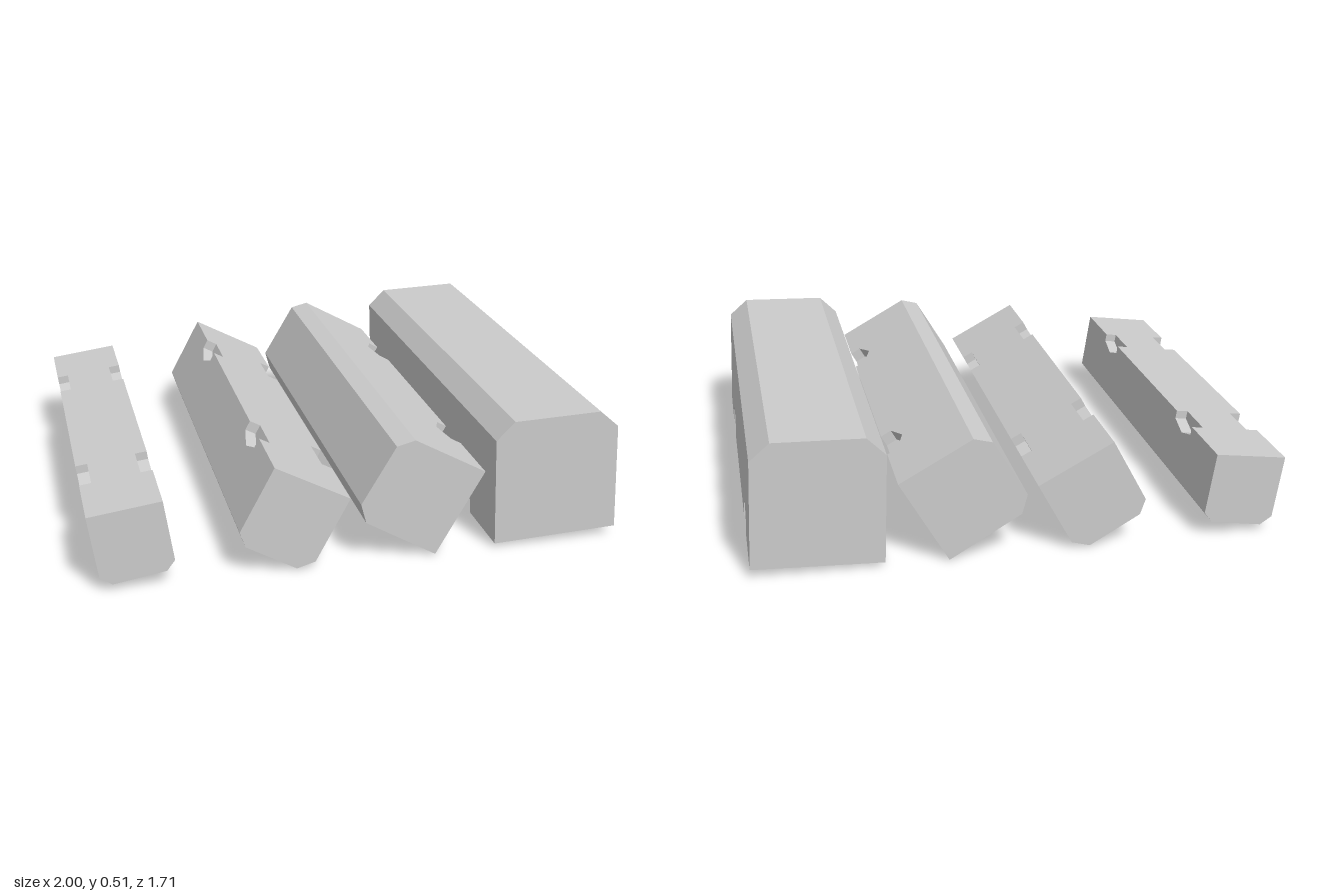
import * as THREE from 'three';

const HALF_LENGTH = 0.855;   // every block runs the same length along z
const NOTCH_Z = 0.492;       // notch centres at +-z
const NOTCH_HALF = 0.088;
const NOTCH_DEPTH = 0.045;

// Cross-sections, counter-clockwise seen from +z.
// The first two points are the base corners (notched); the other four form the chamfered top.
const BLOCKS = [
  { name: 'smallBlock', notch: 0.058, pts: [[-0.73, 0.335], [-1, 0.3], [-0.965, 0.06], [-0.92, 0.03], [-0.725, 0.06], [-0.695, 0.1]] },
  { name: 'mediumBlock', notch: 0.07, pts: [[-0.05, 0.27], [-0.33, 0.42], [-0.46, 0.18], [-0.44, 0.12], [-0.25, 0.01], [-0.18, 0.03]] },
  { name: 'largeBlock', notch: 0.08, pts: [[0.28, 0.005], [0.463, 0.323], [0.19, 0.475], [0.12, 0.457], [-0.01, 0.24], [0.01, 0.165]] },
  { name: 'tallBlock', notch: 0.1, pts: [[0.515, 0.02], [1, 0.04], [0.98, 0.455], [0.905, 0.52], [0.57, 0.51], [0.5, 0.44]] },
];

// Point at a distance from one corner towards another
function towards(from, to, distance) {
  return from.clone().add(to.clone().sub(from).setLength(distance));
}

// One ring of the block: both base corners are cut by a step of the given height and depth
function ring(pts, z, height, depth) {
  const [a, b, c] = pts;
  const last = pts[5];
  const cornerStep = (corner, wallEnd, floorEnd) => {
    if (height === 0) return [corner, corner, corner];
    const wall = towards(corner, wallEnd, height);
    const floor = towards(corner, floorEnd, depth);
    return [wall, wall.clone().add(floor).sub(corner), floor];
  };
  const outline = [
    ...cornerStep(a, last, b),
    ...cornerStep(b, c, a).reverse(),
    ...pts.slice(2),
  ];
  return outline.map((p) => new THREE.Vector3(p.x, p.y, z));
}

function blockGeometry({ pts: coords, notch }) {
  const pts = coords.map(([x, y]) => new THREE.Vector2(x, y));
  const rings = [ring(pts, -HALF_LENGTH, 0, 0)];
  // Gabled notches: upright sides, roof peaking at the middle
  for (const side of [-1, 1]) {
    const z = side * NOTCH_Z;
    const steps = [[-1, 0], [-1, 0.55], [0, 1], [1, 0.55], [1, 0]];
    for (const [t, h] of steps) rings.push(ring(pts, z + t * NOTCH_HALF, h * notch, NOTCH_DEPTH));
  }
  rings.push(ring(pts, HALF_LENGTH, 0, 0));

  const positions = [];
  const triangle = (p, q, r) => {
    const area = q.clone().sub(p).cross(r.clone().sub(p)).length();
    if (area > 1e-8) for (const v of [p, q, r]) positions.push(v.x, v.y, v.z);
  };
  // Sides
  for (let k = 0; k < rings.length - 1; k++) {
    const near = rings[k], far = rings[k + 1];
    for (let i = 0; i < near.length; i++) {
      const j = (i + 1) % near.length;
      triangle(near[i], near[j], far[j]);
      triangle(near[i], far[j], far[i]);
    }
  }
  // End caps
  const back = rings[0], front = rings[rings.length - 1];
  for (let i = 1; i < front.length - 1; i++) {
    triangle(front[0], front[i], front[i + 1]);
    triangle(back[0], back[i + 1], back[i]);
  }

  const geometry = new THREE.BufferGeometry();
  geometry.setAttribute('position', new THREE.Float32BufferAttribute(positions, 3));
  geometry.computeVertexNormals();
  return geometry;
}

export function createModel() {
  const group = new THREE.Group();
  group.name = 'notchedBlocks';
  const material = new THREE.MeshStandardMaterial({ color: 0xcccccc, flatShading: true });
  for (const block of BLOCKS) {
    const mesh = new THREE.Mesh(blockGeometry(block), material);
    mesh.name = block.name;
    group.add(mesh);
  }
  return group;
}
